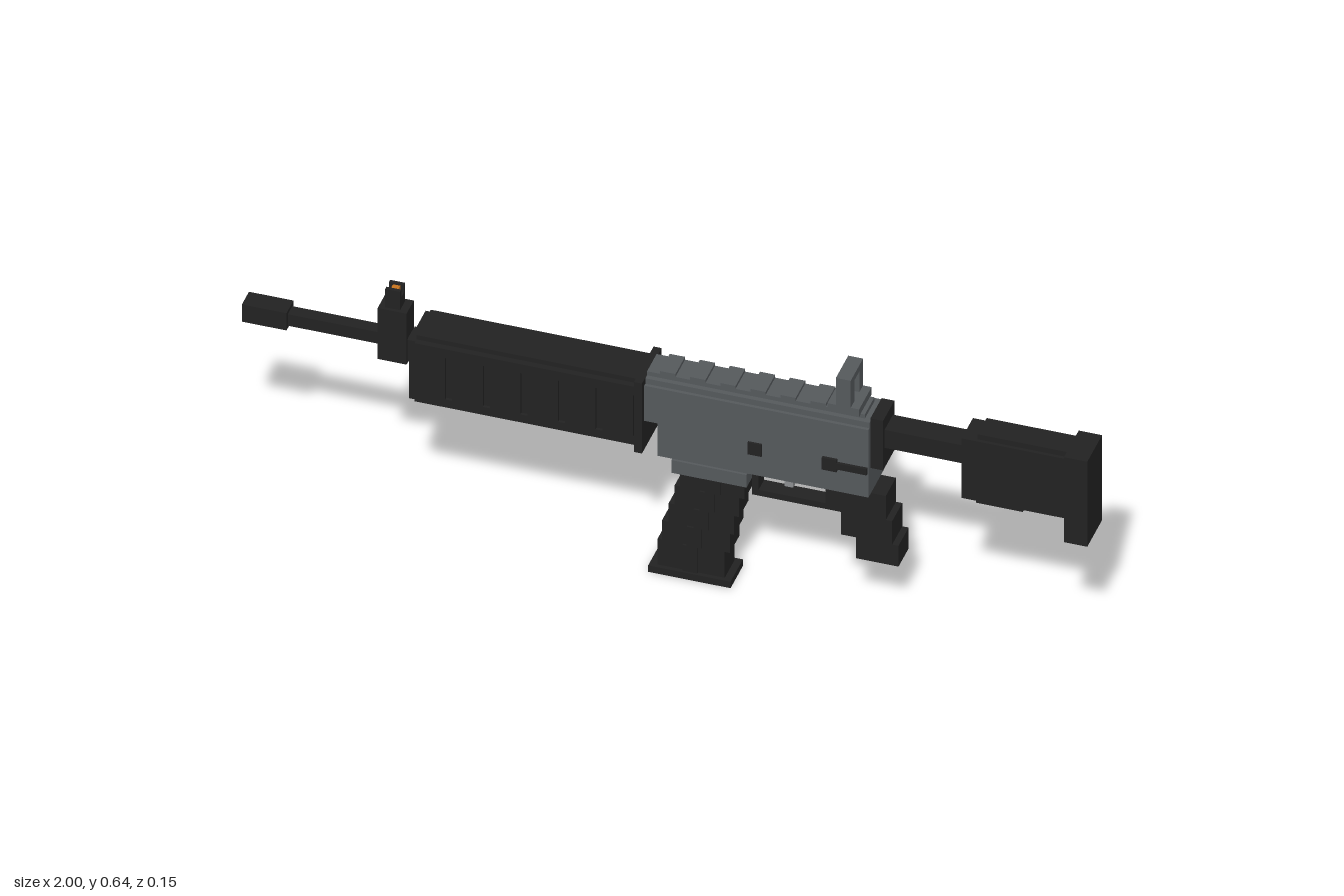
import * as THREE from 'three';

const material = (name, color) => {
  const m = new THREE.MeshStandardMaterial({ color });
  m.name = name;
  return m;
};

export function createModel() {
  const black = material('black polymer', 0x222222);
  const grey = material('gunmetal grey', 0x55595c);
  const steel = material('light steel', 0x8c8f91);
  const orange = material('sight orange', 0xc8741e);

  const model = new THREE.Group();
  model.name = 'rifle';
  const Z = 0.005; // centre plane

  const group = (name) => {
    const g = new THREE.Group();
    g.name = name;
    model.add(g);
    return g;
  };
  // Box given by its limits on each axis
  const box = (parent, name, mat, x0, x1, y0, y1, z0, z1) => {
    const mesh = new THREE.Mesh(new THREE.BoxGeometry(x1 - x0, y1 - y0, z1 - z0), mat);
    mesh.position.set((x0 + x1) / 2, (y0 + y1) / 2, (z0 + z1) / 2);
    mesh.name = name;
    parent.add(mesh);
  };
  // Box centred on the middle plane with half width h
  const mid = (parent, name, mat, x0, x1, y0, y1, h) =>
    box(parent, name, mat, x0, x1, y0, y1, Z - h, Z + h);
  // The same box on both sides, between distances a and b from the middle plane
  const pair = (parent, name, mat, x0, x1, y0, y1, a, b) => {
    box(parent, name + 'Left', mat, x0, x1, y0, y1, Z + a, Z + b);
    box(parent, name + 'Right', mat, x0, x1, y0, y1, Z - b, Z - a);
  };

  // Barrel and muzzle
  const barrel = group('barrel');
  mid(barrel, 'muzzle', black, -1, -0.895, 0.458, 0.506, 0.025);
  mid(barrel, 'barrelTube', black, -0.895, -0.59, 0.465, 0.497, 0.016);
  mid(barrel, 'gasBlock', black, -0.61, -0.59, 0.44, 0.5, 0.026);

  // Front sight with an orange post between two wings
  const front = group('frontSight');
  mid(front, 'sightBase', black, -0.68, -0.612, 0.43, 0.572, 0.026);
  mid(front, 'sightNeck', black, -0.665, -0.63, 0.572, 0.602, 0.018);
  mid(front, 'sightPost', orange, -0.655, -0.638, 0.602, 0.62, 0.008);
  pair(front, 'sightWing', black, -0.665, -0.63, 0.602, 0.623, 0.009, 0.018);

  // Handguard with raised side panels
  const guard = group('handguard');
  mid(guard, 'guardCore', black, -0.595, -0.05, 0.363, 0.525, 0.058);
  mid(guard, 'guardTop', black, -0.58, -0.05, 0.525, 0.537, 0.05);
  mid(guard, 'guardCollar', black, -0.062, -0.043, 0.347, 0.542, 0.07);
  pair(guard, 'upperRail', black, -0.58, -0.062, 0.5, 0.525, 0.058, 0.065);
  pair(guard, 'lowerRail', black, -0.58, -0.062, 0.363, 0.385, 0.058, 0.065);
  for (let i = 0; i < 6; i++) {
    const x = -0.58 + i * 0.0885;
    pair(guard, 'guardPanel' + i, black, x, x + 0.072, 0.385, 0.5, 0.058, 0.065);
  }

  // Receiver
  const receiver = group('receiver');
  mid(receiver, 'upperBody', grey, -0.043, 0.485, 0.427, 0.525, 0.054);
  mid(receiver, 'lowerBody', grey, -0.012, 0.485, 0.337, 0.427, 0.054);
  mid(receiver, 'topCover', grey, -0.043, 0.485, 0.525, 0.54, 0.046);
  mid(receiver, 'magazineWell', grey, 0.023, 0.2, 0.302, 0.337, 0.06);
  mid(receiver, 'topRail', grey, -0.043, 0.47, 0.54, 0.551, 0.034);
  for (let i = 0; i < 6; i++) {
    const x = -0.012 + i * 0.0708;
    mid(receiver, 'railTooth' + i, grey, x, x + 0.036, 0.551, 0.559, 0.034);
  }
  mid(receiver, 'rearPlate', black, 0.485, 0.515, 0.41, 0.548, 0.04);
  pair(receiver, 'pin', black, 0.202, 0.235, 0.395, 0.428, 0.054, 0.059);
  box(receiver, 'selectorHub', black, 0.377, 0.412, 0.395, 0.428, Z + 0.054, Z + 0.061);
  box(receiver, 'selectorLever', black, 0.412, 0.483, 0.403, 0.42, Z + 0.054, Z + 0.061);
  box(receiver, 'rearPin', black, 0.446, 0.468, 0.425, 0.447, Z - 0.058, Z - 0.054);

  // Ejection port and bolt handle on the right side
  box(receiver, 'portFrame', black, 0.12, 0.31, 0.453, 0.512, Z - 0.058, Z - 0.054);
  box(receiver, 'portBolt', steel, 0.137, 0.293, 0.467, 0.499, Z - 0.061, Z - 0.058);
  box(receiver, 'boltHandle', grey, 0.36, 0.43, 0.47, 0.512, -0.074, Z - 0.054);

  // Rear sight ring
  const rear = group('rearSight');
  mid(rear, 'rearSightBase', grey, 0.385, 0.46, 0.549, 0.57, 0.044);
  pair(rear, 'rearSightPost', grey, 0.405, 0.44, 0.57, 0.628, 0.018, 0.044);
  mid(rear, 'rearSightTop', grey, 0.405, 0.44, 0.628, 0.645, 0.044);

  // Stepped magazine, bottom to top: x start, x end, y start, y end
  const magazine = group('magazine');
  mid(magazine, 'magazineBase', black, -0.037, 0.157, 0, 0.018, 0.044);
  [
    [-0.018, 0.14, 0.018, 0.09],
    [-0.008, 0.152, 0.09, 0.143],
    [0.008, 0.162, 0.143, 0.195],
    [0.022, 0.174, 0.195, 0.248],
    [0.035, 0.187, 0.248, 0.303],
  ].forEach(([x0, x1, y0, y1], i) => {
    mid(magazine, 'magazineStep' + i, black, x0, x1, y0, y1, 0.034);
    pair(magazine, 'magazineRib' + i, black, x0 + 0.06, x0 + 0.095, y0, y1, 0.034, 0.0385);
  });

  // Pistol grip
  const grip = group('grip');
  [
    [0.45, 0.55, 0.147, 0.205],
    [0.415, 0.535, 0.205, 0.27],
    [0.378, 0.52, 0.27, 0.337],
  ].forEach(([x0, x1, y0, y1], i) => mid(grip, 'gripStep' + i, black, x0, x1, y0, y1, 0.036));

  // Trigger and its guard
  const trigger = group('trigger');
  mid(trigger, 'guardBar', black, 0.2, 0.42, 0.255, 0.271, 0.02);
  mid(trigger, 'guardUpright', black, 0.2, 0.215, 0.271, 0.337, 0.02);
  mid(trigger, 'triggerBlade', steel, 0.273, 0.293, 0.288, 0.337, 0.01);

  // Stock tube and shoulder stock
  const stock = group('stock');
  mid(stock, 'stockTube', black, 0.515, 0.705, 0.466, 0.516, 0.03);
  mid(stock, 'stockBody', black, 0.7, 0.945, 0.377, 0.543, 0.04);
  mid(stock, 'stockComb', black, 0.735, 0.945, 0.543, 0.557, 0.032);
  mid(stock, 'stockFoot', black, 0.73, 0.84, 0.362, 0.377, 0.028);
  mid(stock, 'buttPad', black, 0.945, 1, 0.32, 0.557, 0.0525);

  return model;
}
